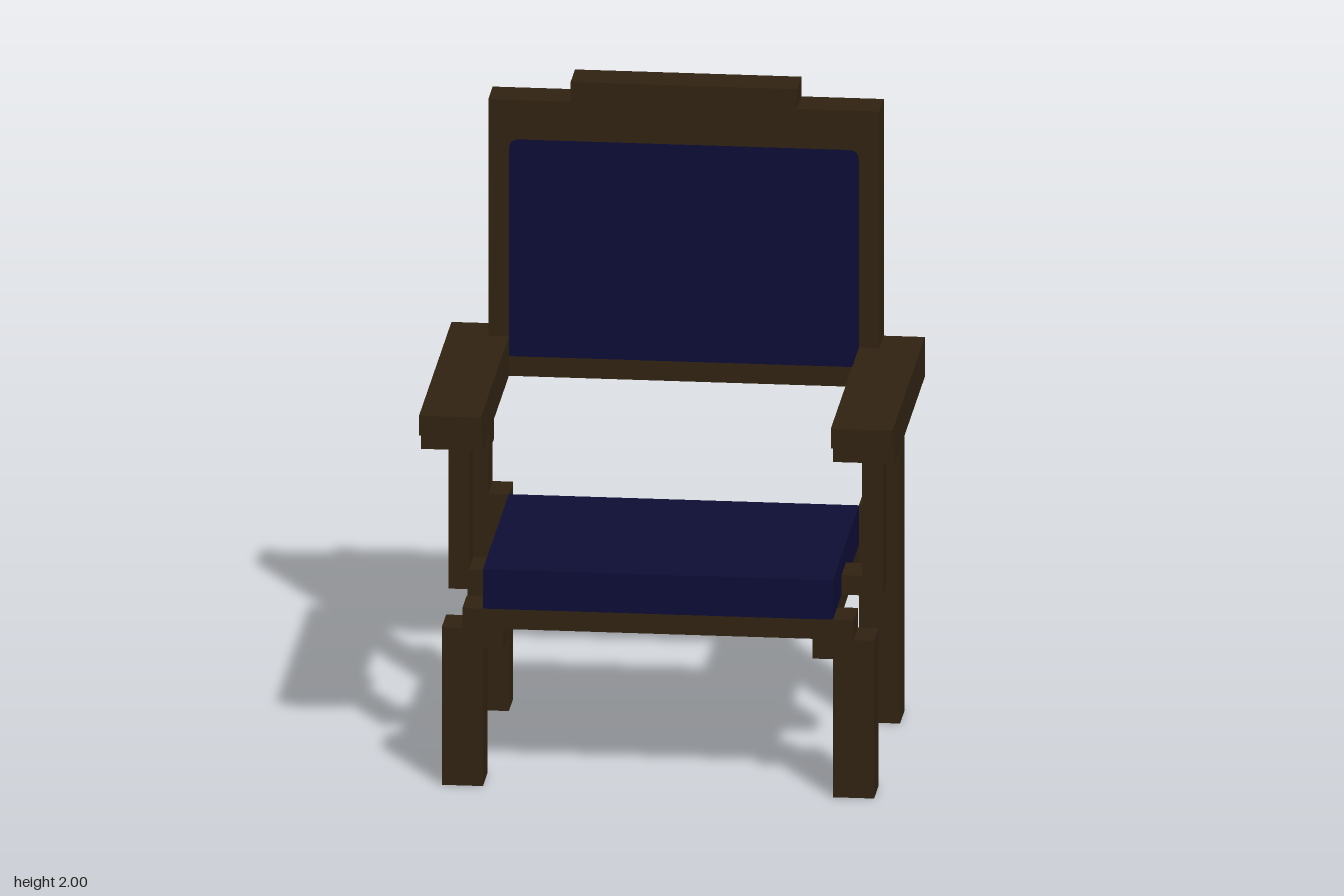
import * as THREE from 'three';

const U = 1 / 16; // grid unit of the blocky design

export function createModel() {
  const chair = new THREE.Group();
  chair.name = 'armchair';
  const wood = new THREE.MeshStandardMaterial({ color: 0x2f2211 });
  wood.name = 'dark wood';
  const fabric = new THREE.MeshStandardMaterial({ color: 0x0d0d35 });
  fabric.name = 'navy fabric';

  const add = (name, geometry, material) => {
    const mesh = new THREE.Mesh(geometry, material);
    mesh.name = name;
    chair.add(mesh);
    return mesh;
  };
  // Box from min/max corners, in grid units
  const box = (name, material, x0, x1, y0, y1, z0, z1) => {
    const g = new THREE.BoxGeometry((x1 - x0) * U, (y1 - y0) * U, (z1 - z0) * U);
    g.translate((x0 + x1) / 2 * U, (y0 + y1) / 2 * U, (z0 + z1) / 2 * U);
    return add(name, g, material);
  };
  // Box given by its distance from the centre plane, placed on one side
  const sideBox = (name, s, a, b, ...rest) =>
    box(name, wood, Math.min(s * a, s * b), Math.max(s * a, s * b), ...rest);

  // Seat
  box('seatBoard', wood, -8.5, 8.5, 8, 9, -5.5, 6.5);
  box('seatCushion', fabric, -8.5, 8.5, 9, 11, -5.5, 6.5);
  box('seatBackRail', wood, -8.5, 8.5, 8, 9, -5.6, -5.5);

  for (const s of [1, -1]) {
    const side = s > 0 ? 'left' : 'right';
    // Legs
    sideBox(side + 'FrontLeg', s, 8.5, 10.5, 0, 8, 4.5, 6.5);
    sideBox(side + 'LegBracket', s, 7.5, 9.5, 7, 9, 4.5, 6.5);
    sideBox(side + 'BackLeg', s, 8.5, 10.5, 0, 11, -7.5, -5.5);
    sideBox(side + 'BackLegUpper', s, 9.5, 10.5, 11, 17, -7.5, -5.5);
    // Arm with a thin overhanging tip
    sideBox(side + 'Arm', s, 8.5, 11.5, 17, 19, -7.5, 6.5);
    sideBox(side + 'ArmTip', s, 8.5, 11.5, 18, 19, 6.5, 7.5);
    // Arm post; the right one stands a little further forward
    const z = s > 0 ? 0.5 : 1.5;
    sideBox(side + 'ArmPost', s, 9.5, 10.5, 10, 17, z, z + 2);
    sideBox(side + 'ArmPostFoot', s, 8.5, 10.5, 9, 10, z, z + 2);
  }
  box('rightArmPostBracket', wood, -9.5, -8.5, 16, 17, 1.5, 3.5);

  // Panel outline with rounded top corners
  const panelOutline = (path) => {
    const w = 8.5 * U, b = 18 * U, t = 29 * U, r = 0.5 * U;
    path.moveTo(-w, b);
    path.lineTo(w, b);
    path.lineTo(w, t - r);
    path.quadraticCurveTo(w, t, w - r, t);
    path.lineTo(-w + r, t);
    path.quadraticCurveTo(-w, t, -w, t - r);
    path.lineTo(-w, b);
    return path;
  };

  // Stepped back frame with an opening for the panel
  const frame = new THREE.Shape();
  [[-9.5, 17], [9.5, 17], [9.5, 31], [5.5, 31], [5.5, 32], [-5.5, 32], [-5.5, 31], [-9.5, 31]]
    .forEach(([x, y], i) => frame[i ? 'lineTo' : 'moveTo'](x * U, y * U));
  frame.holes.push(panelOutline(new THREE.Path()));
  const extrude = { depth: 2 * U, bevelEnabled: false, curveSegments: 4 };
  add('backFrame', new THREE.ExtrudeGeometry(frame, extrude), wood).position.z = -7.5 * U;
  add('backPanel', new THREE.ExtrudeGeometry(panelOutline(new THREE.Shape()), extrude), fabric)
    .position.z = -7.5 * U;
  // Small fabric tab on the rear of the bottom rail
  box('backPanelTab', fabric, 0.3, 1.5, 16.95, 18, -7.55, -6.8);

  // Round studs on the rear of the panel
  const studs = [[7, 27.5], [3, 27.5], [7, 23.5], [7, 19.5], [3, 19.5]];
  const studGeometry = new THREE.CylinderGeometry(0.55 * U, 0.55 * U, 0.006, 16);
  studGeometry.rotateX(Math.PI / 2);
  for (const [x, y] of studs)
    for (const s of [1, -1])
      add('backStud', studGeometry, wood).position.set(s * x * U, y * U, -7.5 * U);

  return chair;
}
